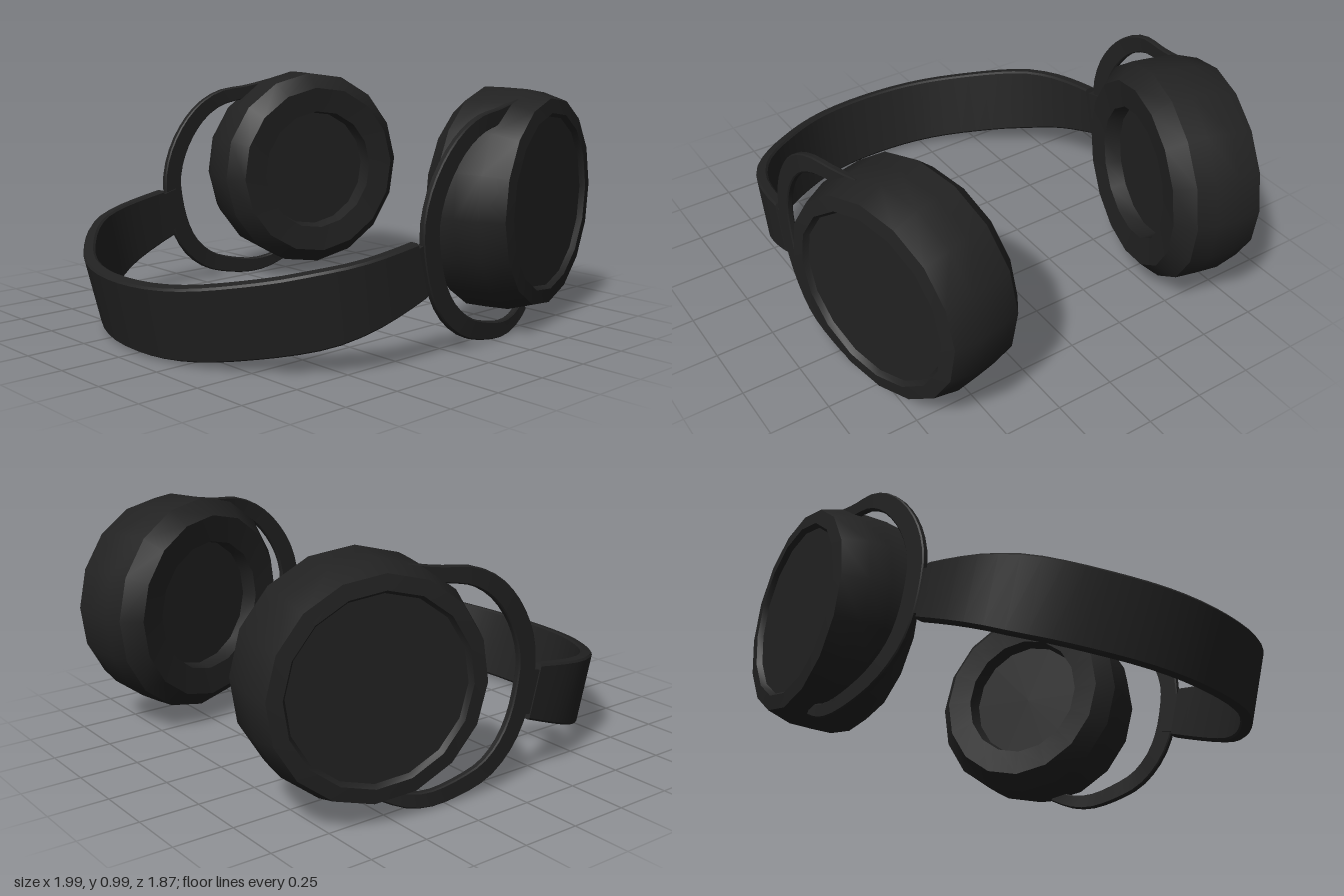
import * as THREE from 'three';
import { toCreasedNormals } from 'three/addons/utils/BufferGeometryUtils.js';

const V = (x, y, z) => new THREE.Vector3(x, y, z);
const TILT = 0.268; // slope of the headband seen from the front
const BAND_UP = V(-TILT, 1, 0).normalize();
const Z = V(0, 0, 1);

// Sweep a chamfered bar along a curve; frame(T) returns [side, out] with side x out = T
function sweep(curve, steps, frame, halfWidth, halfThick, chamfer) {
  const pos = [], idx = [];
  for (let j = 0; j <= steps; j++) {
    const u = j / steps;
    const p = curve.getPointAt(u);
    const [side, out] = frame(curve.getTangentAt(u));
    const w = halfWidth(u, p), h = halfThick, c = chamfer;
    const section = [
      [w, -h + c], [w, h - c], [w - c, h], [-w + c, h],
      [-w, h - c], [-w, -h + c], [-w + c, -h], [w - c, -h],
    ];
    for (const [a, b] of section) {
      const q = p.clone().addScaledVector(side, a).addScaledVector(out, b);
      pos.push(q.x, q.y, q.z);
    }
  }
  for (let j = 0; j < steps; j++) {
    for (let i = 0; i < 8; i++) {
      const a = j * 8 + i, b = j * 8 + (i + 1) % 8;
      idx.push(a, b, a + 8, b, b + 8, a + 8);
    }
  }
  const e = steps * 8;
  for (let i = 1; i < 7; i++) idx.push(0, i + 1, i, e, e + i, e + i + 1);
  const g = new THREE.BufferGeometry();
  g.setAttribute('position', new THREE.Float32BufferAttribute(pos, 3));
  g.setIndex(idx);
  return g;
}

// Reflect a geometry to the other side, keeping faces outward
function mirrorZ(geometry) {
  const g = geometry.clone().scale(1, 1, -1);
  const ix = g.index.array;
  for (let i = 0; i < ix.length; i += 3) [ix[i], ix[i + 1]] = [ix[i + 1], ix[i]];
  return g;
}

// Turned ear cup part; profile is [radius, distance along the cup axis]
function turned(profile) {
  const points = profile.map(([r, n]) => new THREE.Vector2(r, n));
  const g = new THREE.LatheGeometry(points, 16, THREE.MathUtils.degToRad(3));
  const t = V(0.97, 0, -0.245).normalize();
  const n = V(0.245, 0, 0.97).normalize();
  const m = new THREE.Matrix4().makeBasis(t, n, t.clone().cross(n));
  m.setPosition(t.x * 0.355, 0.53, t.z * 0.355);
  return g.applyMatrix4(m);
}

export function createModel() {
  const model = new THREE.Group();
  model.name = 'headphones';
  const black = new THREE.MeshStandardMaterial({ color: 0x222222 });
  black.name = 'matte black';

  const add = (name, geometry, parent) => {
    const mesh = new THREE.Mesh(toCreasedNormals(geometry, 0.5), black);
    mesh.name = name;
    parent.add(mesh);
  };

  // Headband: a tilted U, wide at the crown and tapering to its ends
  const half = [
    [-0.19, 0.81], [-0.3, 0.803], [-0.42, 0.782], [-0.53, 0.735], [-0.65, 0.64],
    [-0.775, 0.485], [-0.87, 0.325], [-0.918, 0.17],
  ];
  const bandPoint = ([x, z]) => V(x, 0.358 + (x + 0.19) * TILT, z);
  const band = [
    ...half, [-0.933, 0], ...half.map(([x, z]) => [x, -z]).reverse(),
  ].map(bandPoint);
  add('headband', sweep(
    new THREE.CatmullRomCurve3(band), 32,
    (T) => [BAND_UP, T.clone().cross(BAND_UP).normalize()],
    (u, p) => 0.113 + 0.04 * THREE.MathUtils.clamp((-0.19 - p.x) / 0.39, 0, 1),
    0.025, 0.008,
  ), model);

  // Yoke: a flat C that hugs the cup, broadest where it meets the headband
  const yokePath = new THREE.CatmullRomCurve3([
    V(0.42, 0.935, 0.765), V(0.29, 0.905, 0.785), V(0.14, 0.88, 0.81),
    V(0.035, 0.825, 0.818), V(-0.05, 0.74, 0.82), V(-0.115, 0.63, 0.82),
    V(-0.145, 0.515, 0.82), V(-0.137, 0.41, 0.82), V(-0.1, 0.275, 0.82),
    V(-0.04, 0.175, 0.82), V(0.06, 0.095, 0.82), V(0.18, 0.055, 0.81),
    V(0.32, 0.035, 0.795), V(0.42, 0.05, 0.775), V(0.51, 0.09, 0.75),
  ]);
  const yoke = sweep(
    yokePath, 32,
    (T) => {
      const side = Z.clone().cross(T).normalize();
      return [side, T.clone().cross(side)];
    },
    (u) => 0.026 + 0.02 * Math.sin(Math.PI * u),
    0.014, 0.005,
  );

  // Short tab joining yoke and headband
  const tab = new THREE.BoxGeometry(0.11, 0.18, 0.03)
    .rotateZ(Math.atan(TILT))
    .translate(-0.165, 0.365, 0.815);

  // Cup shell with a slightly sunken outer disc
  const shell = turned([
    [0.466, 0.65], [0.466, 0.74], [0.463, 0.84], [0.43, 0.945], [0.37, 0.953],
  ]);
  const disc = turned([[0.37, 0.953], [0.356, 0.932], [0, 0.932]]);

  // Cushion with a recessed centre
  const cushion = turned([
    [0.275, 0.66], [0.285, 0.59], [0.4, 0.578], [0.466, 0.65],
  ]);
  const speaker = turned([[0, 0.66], [0.275, 0.66]]);

  const parts = {
    yoke, yokeTab: tab, cupShell: shell, cupDisc: disc, earCushion: cushion, speakerCover: speaker,
  };
  for (const front of [true, false]) {
    const earpiece = new THREE.Group();
    earpiece.name = front ? 'frontEarpiece' : 'backEarpiece';
    for (const [name, g] of Object.entries(parts)) add(name, front ? g : mirrorZ(g), earpiece);
    model.add(earpiece);
  }
  return model;
}
